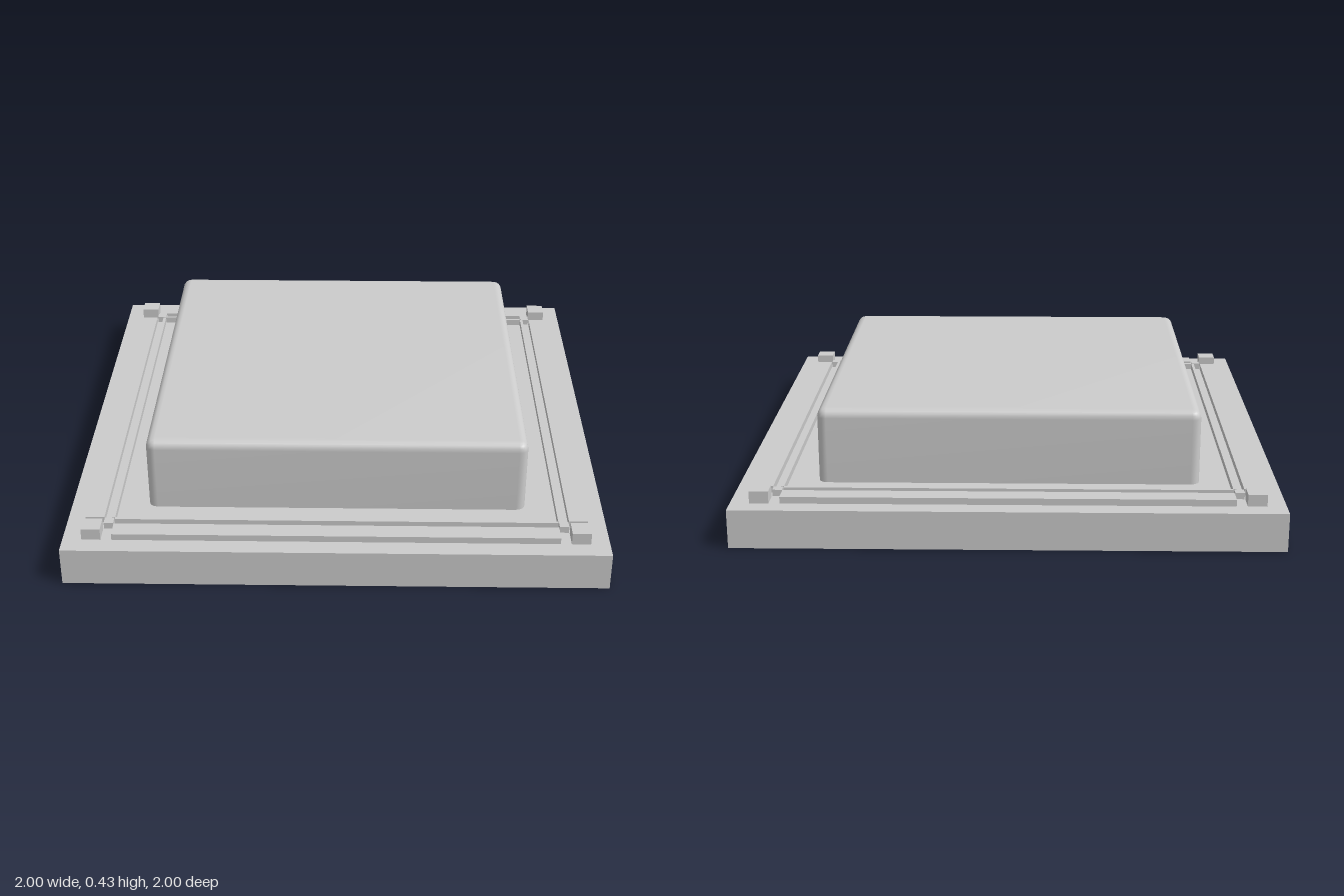
import * as THREE from 'three';
import { mergeVertices } from 'three/addons/utils/BufferGeometryUtils.js';
import { RoundedBoxGeometry } from 'three/addons/geometries/RoundedBoxGeometry.js';

const BASE_TOP = 0.145;

export function createModel() {
  const model = new THREE.Group();
  model.name = 'squarePadOnBase';
  const grey = new THREE.MeshStandardMaterial({ color: 0xcccccc });

  const add = (parent, name, geometry, x, y, z) => {
    const mesh = new THREE.Mesh(geometry, grey);
    mesh.name = name;
    mesh.position.set(x, y, z);
    parent.add(mesh);
    return mesh;
  };

  // Box standing on the top of the base
  const addOnBase = (parent, name, w, h, d, x, z) =>
    add(parent, name, new THREE.BoxGeometry(w, h, d), x, BASE_TOP + h / 2, z);

  // Square base slab
  add(model, 'base', new THREE.BoxGeometry(2, BASE_TOP, 2), 0, BASE_TOP / 2, 0);

  // Raised pad with softened edges; its lower edge is sunk into the base
  const padBottom = 0.08, padTop = 0.43;
  let pad = new RoundedBoxGeometry(1.42, padTop - padBottom, 1.42, 2, 0.035);
  pad.deleteAttribute('normal');
  pad.deleteAttribute('uv');
  pad = mergeVertices(pad, 1e-4);
  pad.computeVertexNormals();
  add(model, 'pad', pad, 0, (padTop + padBottom) / 2, 0);

  // Border: the same side and corner repeated four times
  for (let i = 0; i < 4; i++) {
    const side = new THREE.Group();
    side.name = 'borderSide';
    side.rotation.y = i * Math.PI / 2;
    addOnBase(side, 'outerRail', 1.64, 0.025, 0.07, 0, 0.895);
    addOnBase(side, 'innerStrip', 1.64, 0.025, 0.012, 0, 0.826);
    addOnBase(side, 'cornerPost', 0.07, 0.045, 0.07, 0.895, 0.895);
    addOnBase(side, 'cornerPeg', 0.035, 0.025, 0.035, 0.84, 0.84);
    model.add(side);
  }

  return model;
}
